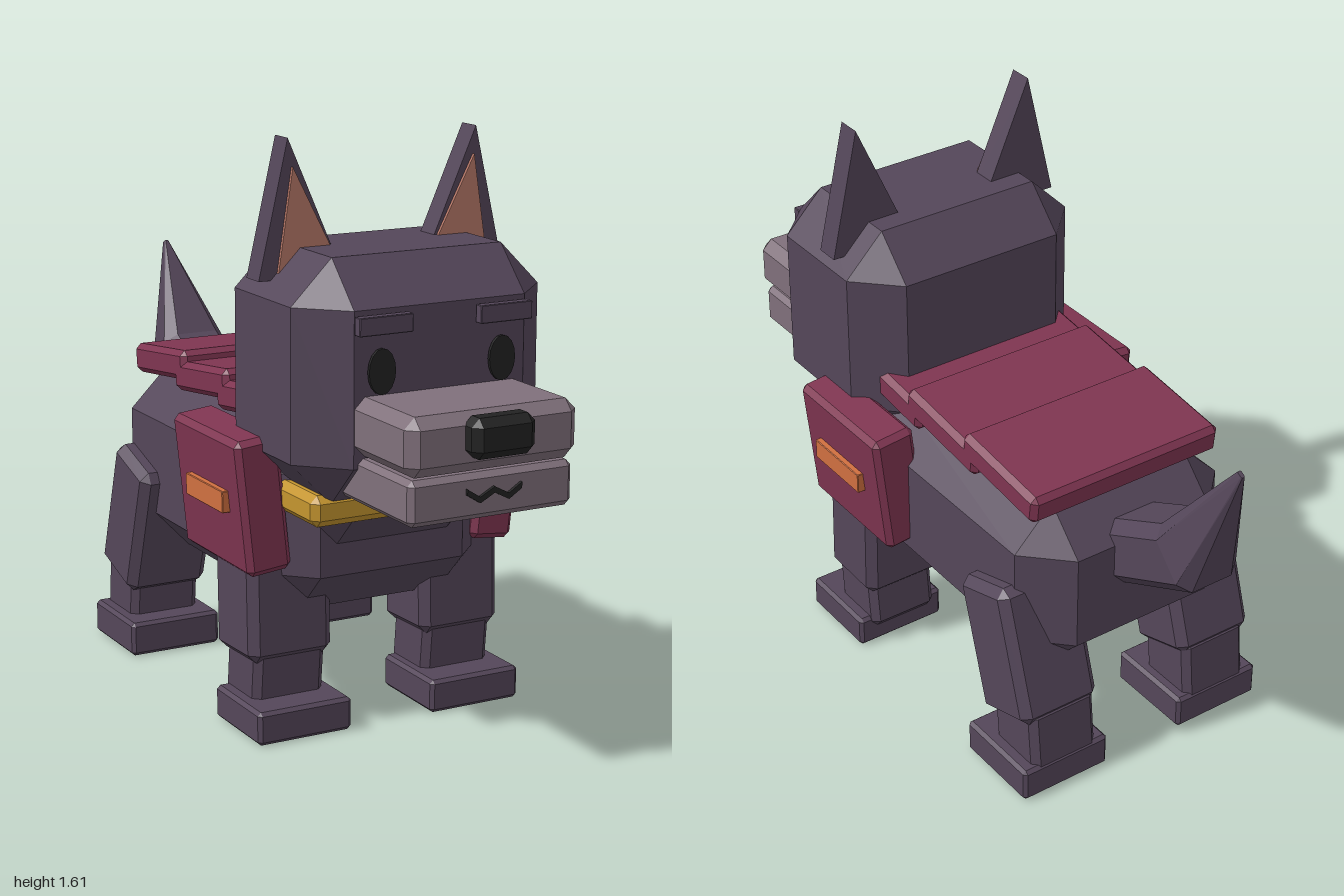
import * as THREE from 'three';
import { ConvexGeometry } from 'three/addons/geometries/ConvexGeometry.js';

const mat = (name, color) => {
  const m = new THREE.MeshStandardMaterial({ color, flatShading: true });
  m.name = name;
  return m;
};

export function createModel() {
  const model = new THREE.Group();
  model.name = 'dog';
  const fur = mat('dark fur', 0x544659);
  const muzzleGrey = mat('muzzle grey', 0x80707b);
  const red = mat('vest red', 0x7f3551);
  const gold = mat('collar gold', 0xc4952f);
  const orange = mat('badge orange', 0xd07040);
  const pink = mat('inner ear pink', 0xb97969);
  const black = mat('black', 0x222222);

  const add = (name, geometry, material) => {
    const mesh = new THREE.Mesh(geometry, material);
    mesh.name = name;
    model.add(mesh);
    return mesh;
  };

  // Box with all edges bevelled by c
  const bevelBox = (w, h, d, c) => {
    const pts = [];
    for (const sx of [-1, 1]) for (const sy of [-1, 1]) for (const sz of [-1, 1]) {
      const x = w / 2, y = h / 2, z = d / 2;
      pts.push(new THREE.Vector3(sx * x, sy * (y - c), sz * (z - c)),
        new THREE.Vector3(sx * (x - c), sy * y, sz * (z - c)),
        new THREE.Vector3(sx * (x - c), sy * (y - c), sz * z));
    }
    return new ConvexGeometry(pts);
  };

  // Bevelled box given by its limits on each axis
  const block = (name, [x0, x1], [y0, y1], [z0, z1], c, material) => {
    const mesh = add(name, bevelBox(x1 - x0, y1 - y0, z1 - z0, c), material);
    mesh.position.set((x0 + x1) / 2, (y0 + y1) / 2, (z0 + z1) / 2);
    return mesh;
  };
  // Mirrored limits for the right-hand side
  const side = (s, a, b) => (s > 0 ? [a, b] : [-b, -a]);

  // Flat outline extruded forward from z
  const plate = (name, points, z, depth, material) => {
    const shape = new THREE.Shape(points.map(([x, y]) => new THREE.Vector2(x, y)));
    const mesh = add(name, new THREE.ExtrudeGeometry(shape, { depth, bevelEnabled: false }), material);
    mesh.position.z = z;
    return mesh;
  };

  // Torso, neck and collar
  block('body', [-0.34, 0.34], [0.32, 0.84], [-0.625, 0.44], 0.12, fur);
  block('neck', [-0.25, 0.25], [0.53, 0.8], [0.1, 0.52], 0.08, fur);
  block('collar', [-0.31, 0.31], [0.62, 0.705], [0.1, 0.57], 0.02, gold);

  // Head, muzzle and nose
  block('head', [-0.37, 0.37], [0.68, 1.325], [0.125, 0.675], 0.118, fur);
  block('upperMuzzle', [-0.25, 0.25], [0.83, 0.985], [0.55, 0.95], 0.03, muzzleGrey);
  block('lowerMuzzle', [-0.24, 0.24], [0.705, 0.825], [0.55, 0.935], 0.015, muzzleGrey);
  block('nose', [-0.092, 0.092], [0.872, 0.977], [0.92, 1], 0.022, black);

  // Zigzag mouth
  const zig = [[-0.08, 0.782], [-0.042, 0.758], [0, 0.78], [0.042, 0.758], [0.08, 0.782]];
  plate('mouth', [...zig.map(([x, y]) => [x, y - 0.008]),
    ...zig.slice().reverse().map(([x, y]) => [x, y + 0.008])], 0.936, 0.009, black);

  for (const s of [1, -1]) {
    // Eyes and brows
    const eye = add('eye', new THREE.CylinderGeometry(1, 1, 0.009, 16).rotateX(Math.PI / 2), black);
    eye.scale.set(0.039, 0.06, 1);
    eye.position.set(s * 0.178, 1.048, 0.686);
    block('brow', side(s, 0.1, 0.255), [1.147, 1.195], [0.683, 0.71], 0.002, fur);

    // Ears
    plate('ear', [[s * 0.368, 1.243], [s * 0.283, 1.61], [s * 0.12, 1.243]], 0.308, 0.07, fur);
    plate('innerEar', [[s * 0.317, 1.25], [s * 0.273, 1.535], [s * 0.125, 1.25]], 0.379, 0.009, pink);

    // Shoulder pads with badges
    const pad = add('shoulderPad', bevelBox(0.13, 0.375, 0.395, 0.016), red);
    pad.position.set(s * 0.363, 0.646, 0.2);
    pad.rotation.z = -s * 0.105;
    block('badge', side(s, 0.41, 0.449), [0.62, 0.68], [0.095, 0.318], 0.002, orange);

    // Front legs
    const frontUpper = block('frontUpperLeg', side(s, 0.14, 0.39), [0.195, 0.6], [0.14, 0.365], 0.025, fur);
    frontUpper.rotation.x = -0.03;
    const frontLower = block('frontLowerLeg', side(s, 0.157, 0.37), [0.05, 0.25], [0.168, 0.352], 0.02, fur);
    frontLower.rotation.x = 0.1;
    block('frontPaw', side(s, 0.125, 0.407), [0, 0.093], [0.18, 0.445], 0.01, fur);

    // Hind legs
    const thigh = add('thigh', bevelBox(0.25, 0.405, 0.22, 0.025), fur);
    thigh.position.set(s * 0.268, 0.398, -0.473);
    thigh.rotation.x = 0.305;
    const hock = block('hindLowerLeg', side(s, 0.157, 0.37), [0.04, 0.26], [-0.64, -0.45], 0.02, fur);
    hock.rotation.x = 0.1;
    block('hindPaw', side(s, 0.125, 0.407), [0, 0.1], [-0.65, -0.375], 0.01, fur);
  }

  // Overlapping back plates
  for (const z of [0.16, -0.11, -0.38]) {
    const p = add('backPlate', bevelBox(0.62, 0.085, 0.335, 0.016), red);
    p.position.set(0, 0.88, z);
    p.rotation.x = -0.115;
  }

  // Tail cross-section from its top and bottom points, each [z, y]
  const section = ([tz, ty], [bz, by], w) => {
    const at = (x, t) => new THREE.Vector3(x, by + (ty - by) * t, bz + (tz - bz) * t);
    return [-1, 1].flatMap((s) => [at(s * w * 0.65, 1), at(s * w, 0.82), at(s * w, 0.18), at(s * w * 0.65, 0)]);
  };
  const tailRoot = section([-0.5, 0.73], [-0.5, 0.525], 0.1);
  const tailBend = section([-0.77, 0.865], [-0.905, 0.725], 0.1);
  const tailTip = section([-0.982, 1.122], [-1, 1.112], 0.006);
  add('tailBase', new ConvexGeometry([...tailRoot, ...tailBend]), fur);
  add('tailTip', new ConvexGeometry([...tailBend, ...tailTip]), fur);

  return model;
}
